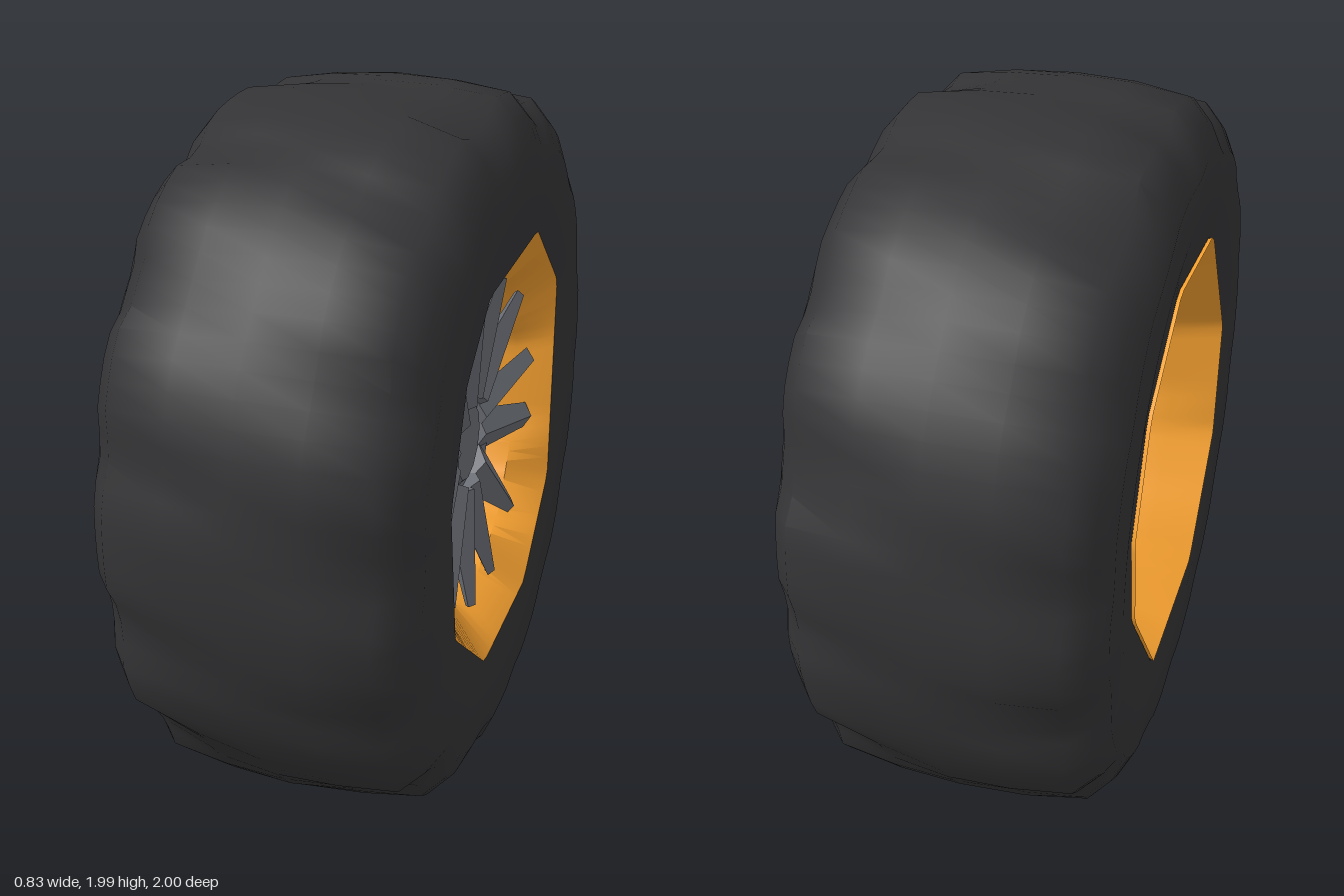
import * as THREE from 'three';
import { toCreasedNormals } from 'three/addons/utils/BufferGeometryUtils.js';

const SEG = 96;
const TAU = Math.PI * 2;

// Uneven rim openings, as [z, y] corners around the axle, anticlockwise
const OUTER_LIP = [[0.6, 0.09], [0.49, 0.38], [0.3, 0.54], [-0.19, 0.58], [-0.49, 0.35],
  [-0.51, -0.31], [-0.24, -0.56], [0.22, -0.57], [0.53, -0.31]];
const INNER_LIP = [[0.56, 0.12], [0.25, 0.56], [-0.18, 0.59], [-0.48, 0.4], [-0.6, 0.12],
  [-0.56, -0.16], [-0.27, -0.55], [0.25, -0.57], [0.54, -0.26]];
const THROAT = [[0.47, 0.12], [0.31, 0.36], [0.11, 0.46], [-0.11, 0.46], [-0.32, 0.35],
  [-0.47, 0.14], [-0.47, -0.11], [-0.32, -0.36], [-0.1, -0.46], [0.11, -0.46], [0.32, -0.34], [0.47, -0.11]];

// Distance from the axle to a polygon's edge at angle t
function polygonRadius(points, t) {
  const dz = Math.cos(t), dy = Math.sin(t);
  let best = 0;
  points.forEach(([az, ay], i) => {
    const [bz, by] = points[(i + 1) % points.length];
    const ez = bz - az, ey = by - ay;
    const d = dz * ey - dy * ez;
    if (Math.abs(d) < 1e-9) return;
    const r = (az * ey - ay * ez) / d;
    const s = (az * dy - ay * dz) / d;
    if (r > 0 && s >= -1e-6 && s <= 1 + 1e-6) best = Math.max(best, r);
  });
  return best;
}

// Skin over rings around the x axis; each ring is [x, radius(t)]
function skin(rings) {
  const pos = [], index = [];
  rings.forEach(([x, radius]) => {
    for (let j = 0; j < SEG; j++) {
      const t = (j / SEG) * TAU;
      const r = radius(t);
      pos.push(x, r * Math.sin(t), r * Math.cos(t));
    }
  });
  for (let i = 0; i < rings.length - 1; i++) {
    for (let j = 0; j < SEG; j++) {
      const k = (j + 1) % SEG;
      const a = i * SEG + j, b = a + SEG, c = i * SEG + k, d = c + SEG;
      index.push(a, b, c, b, d, c);
    }
  }
  const g = new THREE.BufferGeometry();
  g.setAttribute('position', new THREE.Float32BufferAttribute(pos, 3));
  g.setIndex(index);
  return toCreasedNormals(g, 0.75);
}

export function createModel() {
  const wheel = new THREE.Group();
  wheel.name = 'wheel';
  const rubber = new THREE.MeshStandardMaterial({ color: 0x333335 });
  const orange = new THREE.MeshStandardMaterial({ color: 0xf5a030, side: THREE.DoubleSide });
  const metal = new THREE.MeshStandardMaterial({ color: 0x6a6d74 });

  const add = (geometry, material, name, parent = wheel) => {
    const mesh = new THREE.Mesh(geometry, material);
    mesh.name = name;
    parent.add(mesh);
    return mesh;
  };

  const outerLip = (t) => polygonRadius(OUTER_LIP, t);
  const innerLip = (t) => polygonRadius(INNER_LIP, t);
  const throat = (t) => polygonRadius(THROAT, t);
  const blend = (lip, k) => (t) => throat(t) * (1 - k) + lip(t) * k;
  const round = (r) => () => r;
  // Worn tread: slightly fuller on the diagonals, with blunt lugs of depth amp
  const worn = (r, amp, phase) => (t) =>
    r + 0.01 * (1 - Math.cos(4 * t))
    - amp * (0.5 - 0.5 * Math.tanh(2.5 * Math.sin(14 * t + phase) + Math.sin(5 * t + phase) + 1));

  // Tyre: flat sidewalls, bevelled shoulders and a slightly crowned tread
  add(skin([
    [-0.41, innerLip], [-0.42, round(0.7)], [-0.42, worn(0.84, 0.02, 1)],
    [-0.385, worn(0.91, 0.035, 1)], [-0.33, worn(0.97, 0.04, 1)],
    [-0.17, worn(0.992, 0.015, 1.4)], [0, worn(1, 0.005, 2)], [0.17, worn(0.992, 0.015, 3.6)],
    [0.33, worn(0.97, 0.04, 4)], [0.385, worn(0.91, 0.035, 4)],
    [0.415, worn(0.84, 0.02, 4)], [0.415, round(0.7)], [0.41, outerLip],
  ]), rubber, 'tyre');

  // Rim barrel: faceted lips narrowing to a throat
  add(skin([
    [-0.42, innerLip], [-0.28, blend(innerLip, 0.6)], [-0.1, blend(innerLip, 0.15)],
    [0.08, throat], [0.3, blend(outerLip, 0.08)], [0.41, outerLip],
  ]), orange, 'rimBarrel');

  // Broad sunken hub with a raised centre cap
  const profile = [[0, 0.19], [0.18, 0.2], [0.235, 0.25], [0.22, 0.285], [0.13, 0.265], [0.11, 0.285], [0, 0.285]];
  const hub = new THREE.LatheGeometry(profile.map(([r, h]) => new THREE.Vector2(r, h)), 12);
  hub.rotateZ(-Math.PI / 2);
  add(toCreasedNormals(hub, 0.6), metal, 'hub');

  // Twelve ridged spokes rising from the hub; the upright ones are most pointed
  const spokes = new THREE.Group();
  spokes.name = 'spokes';
  wheel.add(spokes);
  const rise = 0.08, from = 0.14, to = 0.48;
  for (const [angle, tip, base] of [[11.5, 0.04, 0.07], [47, 0.024, 0.09], [77, 0.024, 0.09]]) {
    for (const deg of [angle, 180 - angle, 180 + angle, 360 - angle]) {
      const g = new THREE.CylinderGeometry(tip, base, to - from, 4);
      g.scale(0.65, 1, 1);
      g.rotateZ(-Math.atan2(rise, to - from));
      g.translate(0.295, (from + to) / 2, 0);
      g.rotateX(Math.PI / 2 - THREE.MathUtils.degToRad(deg));
      add(toCreasedNormals(g, 0.5), metal, 'spoke', spokes);
    }
  }

  wheel.children.forEach((part) => { part.position.y = 1; });
  return wheel;
}
